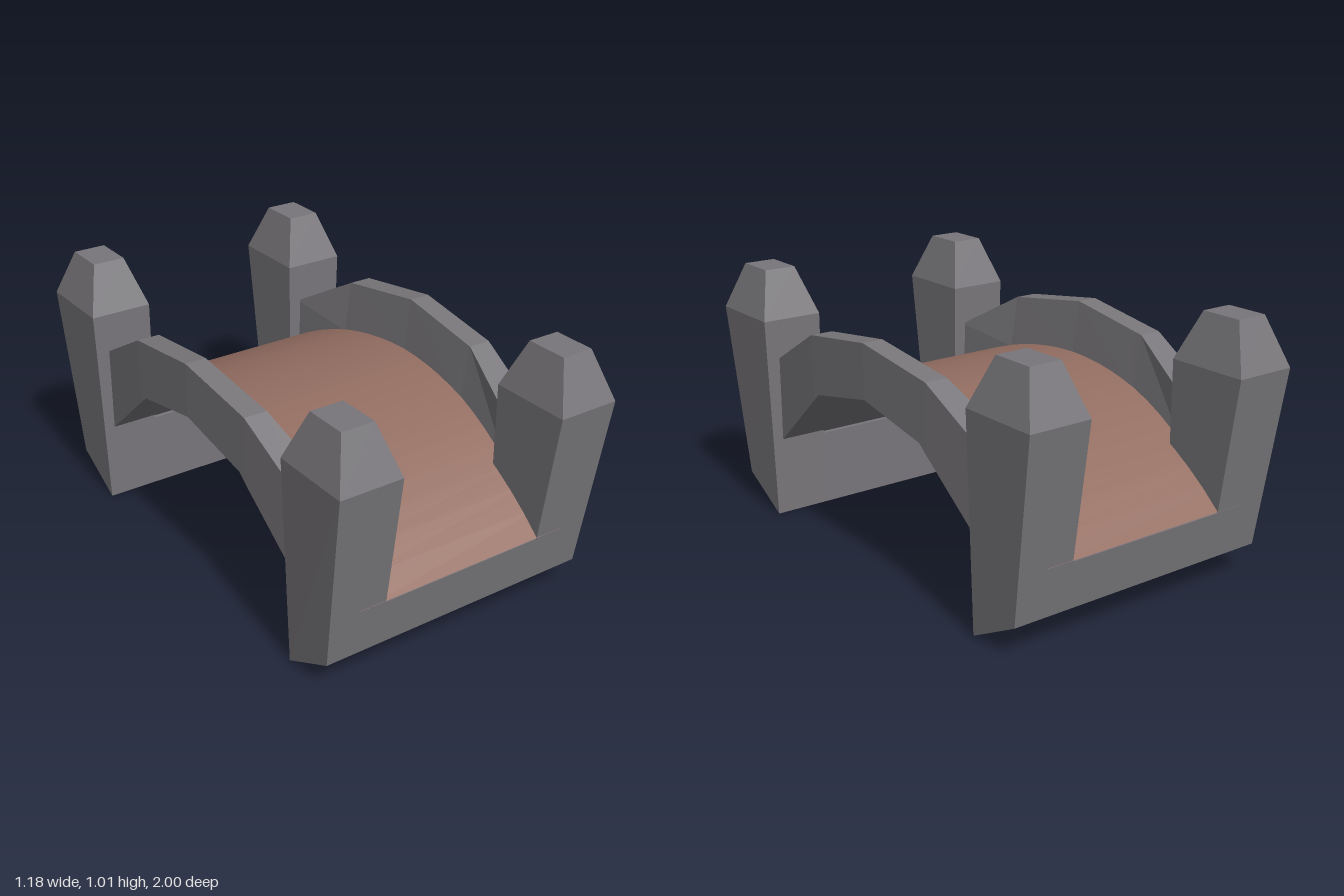
import * as THREE from 'three';

// Skins a list of closed rings (counter-clockwise seen from the loft's end) with flat faces
function loft(rings, capped) {
  const pos = [];
  const quad = (a, b, c, d) => pos.push(...a, ...b, ...c, ...a, ...c, ...d);
  for (let i = 0; i < rings.length - 1; i++) {
    const r0 = rings[i], r1 = rings[i + 1], n = r0.length;
    for (let j = 0; j < n; j++) {
      const k = (j + 1) % n;
      quad(r0[j], r0[k], r1[k], r1[j]);
    }
  }
  if (capped) {
    const first = rings[0], last = rings[rings.length - 1];
    quad(first[3], first[2], first[1], first[0]);
    quad(last[0], last[1], last[2], last[3]);
  }
  const geo = new THREE.BufferGeometry();
  geo.setAttribute('position', new THREE.Float32BufferAttribute(pos, 3));
  geo.computeVertexNormals();
  return geo;
}

// Reads a mirrored profile of [distance, value] points
function sample(profile, z) {
  const d = Math.abs(z);
  let i = 0;
  while (i < profile.length - 2 && d > profile[i + 1][0]) i++;
  const [a, va] = profile[i], [b, vb] = profile[i + 1];
  return va + ((vb - va) * (d - a)) / (b - a);
}

// Height of the arched road surface
const RADIUS = 1.354;
const deckHeight = (z) => 0.68 - RADIUS + Math.sqrt(RADIUS * RADIUS - z * z);

export function createModel() {
  const stone = new THREE.MeshStandardMaterial({ color: 0x78767a, flatShading: true });
  const road = new THREE.MeshStandardMaterial({ color: 0x936d61, side: THREE.DoubleSide });
  const model = new THREE.Group();
  model.name = 'bridge';

  const add = (parent, name, geo, mat) => {
    const mesh = new THREE.Mesh(geo, mat);
    mesh.name = name;
    parent.add(mesh);
  };

  // Arch with its two parapets: a U section swept along z
  const top = [[0, 0.885], [0.38, 0.83], [0.675, 0.665]];
  const under = [[0, 0.67], [0.34, 0.6], [0.675, 0.32]];
  const outer = [[0, 0.555], [0.38, 0.547], [0.675, 0.53]];
  const innerTop = [[0, 0.47], [0.38, 0.455], [0.675, 0.395]];
  const innerBase = [[0, 0.44], [0.38, 0.425], [0.675, 0.39]];
  const stations = [-0.685, -0.38, -0.34, 0, 0.34, 0.38, 0.685];
  const archRings = stations.map((z) => {
    const yt = sample(top, z), yb = sample(under, z), yd = deckHeight(z) - 0.006;
    const xo = sample(outer, z), xt = sample(innerTop, z), xb = sample(innerBase, z);
    return [
      [-xo, yb, z], [xo, yb, z], [xo, yt, z], [xt, yt, z],
      [xb, yd, z], [-xb, yd, z], [-xt, yt, z], [-xo, yt, z],
    ];
  });
  add(model, 'archWithParapets', loft(archRings, false), stone);

  // Road surface: a plane bent over the arch
  const deck = new THREE.PlaneGeometry(0.9, 1.856, 1, 24).rotateX(-Math.PI / 2);
  const p = deck.attributes.position;
  for (let i = 0; i < p.count; i++) p.setY(i, deckHeight(p.getZ(i)));
  deck.computeVertexNormals();
  add(model, 'roadSurface', deck, road);

  // Pillar with tapered cap; s picks the side
  const pillar = (s) => {
    // each level: inner x, outer x, inner z, outer z, inner y, outer y
    const levels = [
      [0.34, 0.565, 0.675, 0.9, 0, 0.12],
      [0.34, 0.59, 0.67, 1, 0.825, 0.825],
      [0.4, 0.53, 0.75, 0.92, 1.012, 1.012],
    ];
    return loft(levels.map(([xi, xo, zi, zo, yi, yo]) => {
      const ring = [[s * xi, yo, zo], [s * xo, yo, zo], [s * xo, yi, zi], [s * xi, yi, zi]];
      return s > 0 ? ring : ring.reverse();
    }), true);
  };

  // Sill between the pillars
  const sill = loft([-0.34, 0.34].map((x) => [
    [x, 0.12, 0.9], [x, 0, 0.675], [x, 0.307, 0.675], [x, 0.307, 0.9265],
  ]), true);

  // Front and back abutments
  for (const name of ['frontAbutment', 'backAbutment']) {
    const abutment = new THREE.Group();
    abutment.name = name;
    add(abutment, 'sill', sill, stone);
    add(abutment, 'pillar', pillar(1), stone);
    add(abutment, 'pillar', pillar(-1), stone);
    if (name === 'backAbutment') abutment.rotation.y = Math.PI;
    model.add(abutment);
  }
  return model;
}
